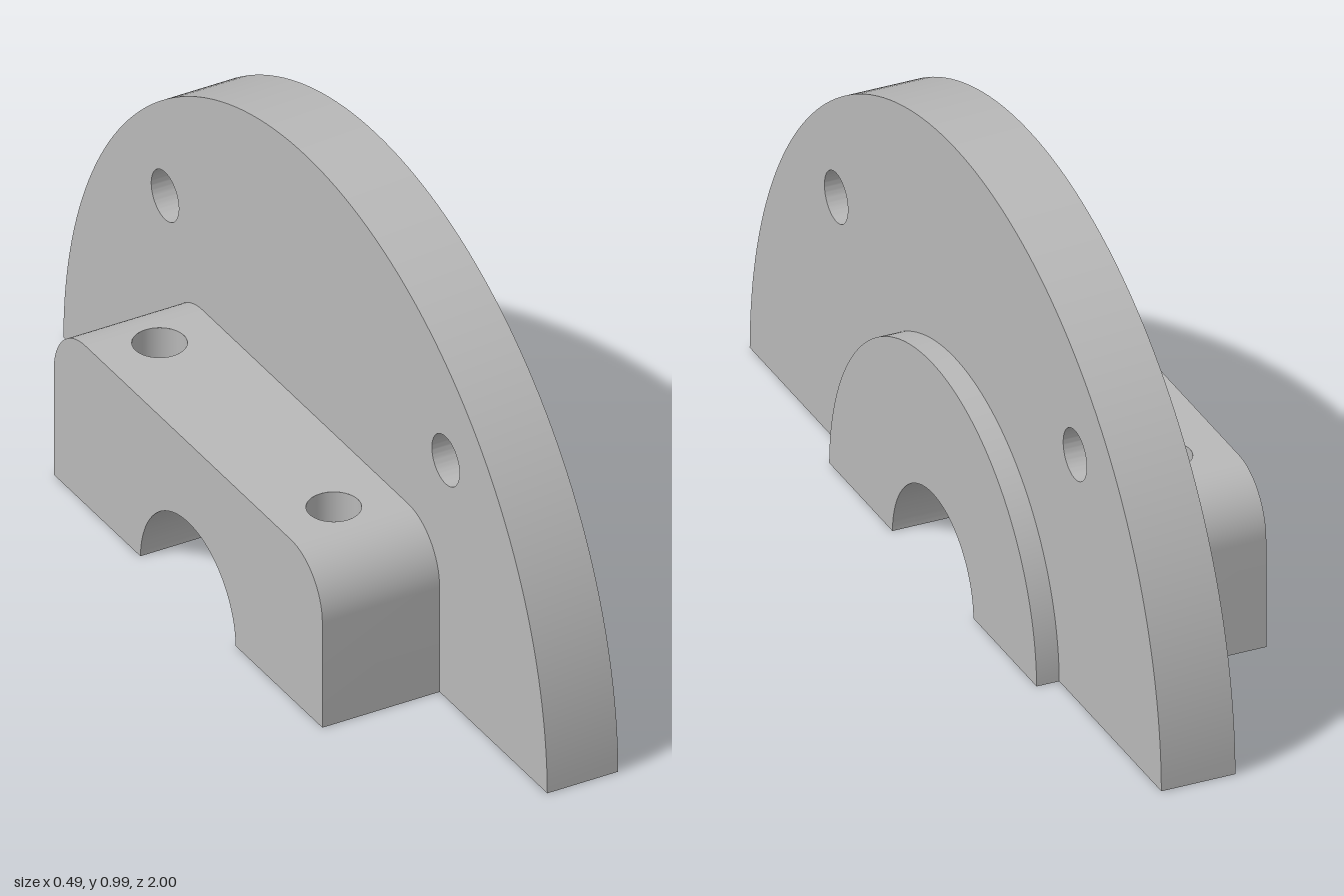
import * as THREE from 'three';
import { toCreasedNormals } from 'three/addons/utils/BufferGeometryUtils.js';

const SEG = 48;
const CY = -0.006;              // shaft axis sits just under the cut face
const BORE = 0.197;
const X0 = -0.248, X1 = 0.028, X2 = 0.195, X3 = 0.246;   // block | plate | hub
const W = 0.555, H = 0.384, R = 0.13;                    // block half width, height, corner
const HOLE = 0.057, HOLE_X = -0.11, HOLE_Z = 0.36;

export function createModel() {
  const group = new THREE.Group();
  group.name = 'halfFlange';
  const steel = new THREE.MeshStandardMaterial({ color: 0xb8b8b8, side: THREE.DoubleSide });
  steel.name = 'greySteel';

  const add = (name, geometry, parent = group) => {
    const mesh = new THREE.Mesh(geometry, steel);
    mesh.name = name;
    parent.add(mesh);
    return mesh;
  };

  // angle at which a circle around the axis meets y = 0
  const cut = (r) => Math.asin(-CY / r);
  const boreArc = (path) => path.absarc(0, CY, BORE, Math.PI - cut(BORE), cut(BORE), true);

  // half ring across the x axis, with optional round holes
  const halfRing = (radius, xa, xb, holes = []) => {
    const shape = new THREE.Shape();
    shape.absarc(0, CY, radius, cut(radius), Math.PI - cut(radius), false);
    boreArc(shape);
    shape.closePath();
    for (const [z, y] of holes) {
      shape.holes.push(new THREE.Path().absarc(z, y, HOLE, 0, Math.PI * 2, true));
    }
    const geo = new THREE.ExtrudeGeometry(shape, { depth: xb - xa, bevelEnabled: false, curveSegments: SEG });
    geo.rotateY(Math.PI / 2).translate(xa, 0, 0);
    return toCreasedNormals(geo, 0.5);
  };

  add('flangePlate', halfRing(1, X1, X2, [[0.58, 0.575], [-0.58, 0.575]]));
  add('raisedHub', halfRing(0.504, X2, X3));

  // clamp block, made of its outer faces
  const block = new THREE.Group();
  block.name = 'clampBlock';
  group.add(block);

  // wall following (z, y) points from X0 to X1
  const wall = (points) => {
    const pos = [];
    for (let i = 1; i < points.length; i++) {
      const p = points[i - 1], q = points[i];
      if (p.distanceTo(q) < 1e-6) continue;
      const a = [X0, p.y, p.x], b = [X1, p.y, p.x], c = [X1, q.y, q.x], d = [X0, q.y, q.x];
      pos.push(...a, ...b, ...c, ...a, ...c, ...d);
    }
    const geo = new THREE.BufferGeometry();
    geo.setAttribute('position', new THREE.Float32BufferAttribute(pos, 3));
    return toCreasedNormals(geo, 0.5);
  };

  // rounded side walls
  const side = [new THREE.Vector2(W, 0)];
  for (let i = 0; i <= 16; i++) {
    const t = (i / 16) * Math.PI / 2;
    side.push(new THREE.Vector2(W - R + R * Math.cos(t), H - R + R * Math.sin(t)));
  }
  const mirrored = side.map((p) => new THREE.Vector2(-p.x, p.y)).reverse();
  add('blockLeftWall', wall(side), block);
  add('blockRightWall', wall(mirrored), block);
  add('blockBore', wall(boreArc(new THREE.Path()).getPoints(SEG)), block);

  // end face with the bore cut out
  const end = new THREE.Shape([...side, ...mirrored]);
  boreArc(end);
  end.closePath();
  add('blockEndFace', new THREE.ShapeGeometry(end, SEG).rotateY(-Math.PI / 2).translate(X0, 0, 0), block);

  // flat faces pierced by the bolt holes
  const piercedFace = (za, zb, holes) => {
    const shape = new THREE.Shape([[X0, za], [X1, za], [X1, zb], [X0, zb]].map((p) => new THREE.Vector2(...p)));
    for (const z of holes) shape.holes.push(new THREE.Path().absarc(HOLE_X, z, HOLE, 0, Math.PI * 2, true));
    return new THREE.ShapeGeometry(shape, SEG);
  };
  const top = piercedFace(R - W, W - R, [HOLE_Z, -HOLE_Z]);
  add('blockTop', top.rotateX(-Math.PI / 2).translate(0, H, 0), block);

  const inner = BORE * Math.cos(cut(BORE));
  for (const s of [1, -1]) {
    const za = s > 0 ? inner : -W, zb = s > 0 ? W : -inner;
    add('blockFoot', piercedFace(za, zb, [s * HOLE_Z]).rotateX(Math.PI / 2), block);
    const bolt = new THREE.LatheGeometry([new THREE.Vector2(HOLE, H), new THREE.Vector2(HOLE, 0)], SEG);
    add('boltHole', bolt.translate(HOLE_X, 0, s * HOLE_Z), block);
  }

  return group;
}
